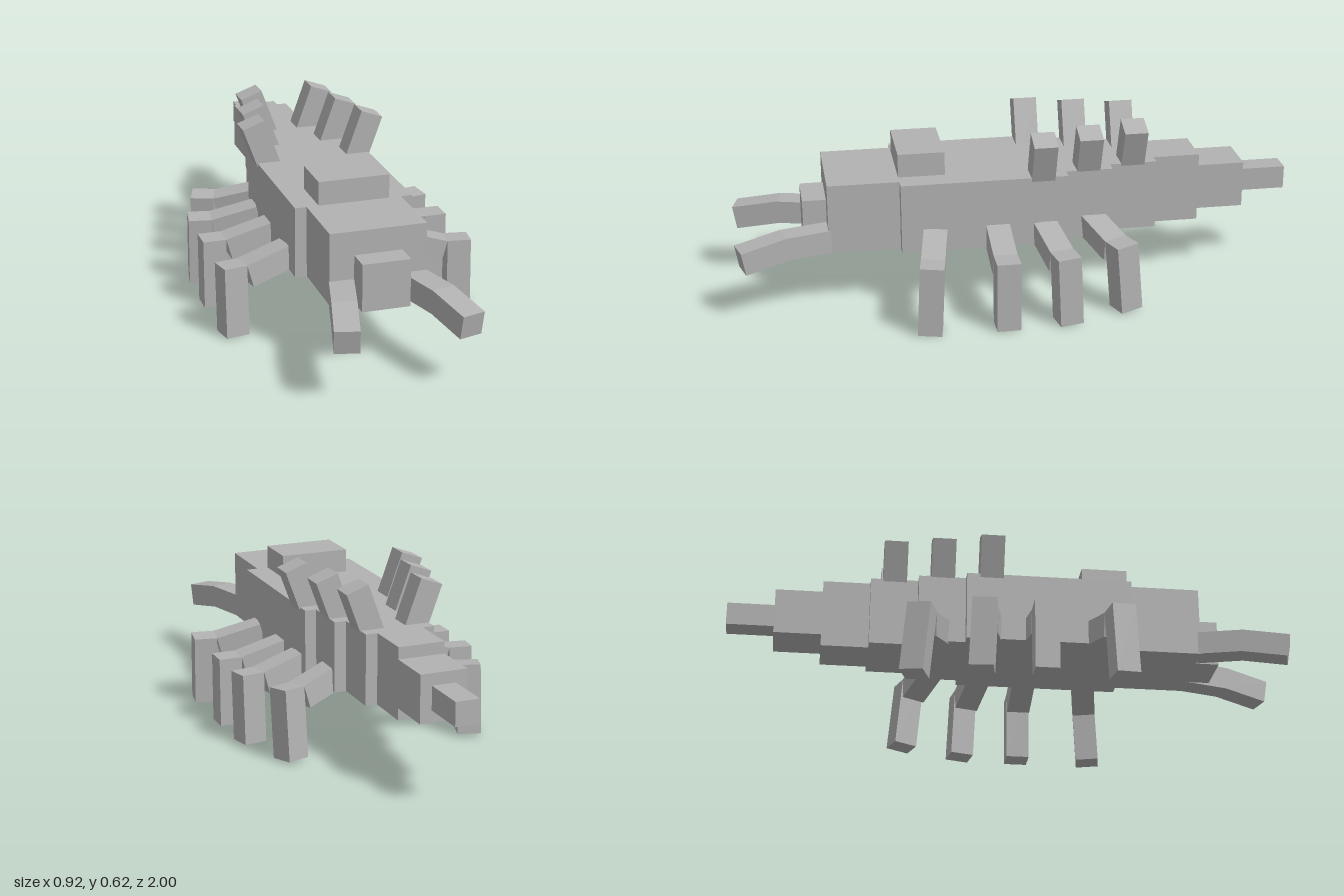
import * as THREE from 'three';

const rad = THREE.MathUtils.degToRad;
const T = 0.0833; // common limb thickness

export function createModel() {
  const model = new THREE.Group();
  const shell = new THREE.MeshStandardMaterial({ color: 0xb2b2b2 });
  shell.name = 'shellGrey';

  // Box given by its size and centre
  function box(parent, name, w, h, d, x, y, z) {
    const mesh = new THREE.Mesh(new THREE.BoxGeometry(w, h, d), shell);
    mesh.name = name;
    mesh.position.set(x, y, z);
    parent.add(mesh);
    return mesh;
  }

  // Joint: a named group at a pivot, angles in degrees
  function joint(parent, name, x, y, z, rx, ry, rz) {
    const g = new THREE.Group();
    g.name = name;
    g.position.set(x, y, z);
    g.rotation.set(rad(rx), rad(ry), rad(rz), 'ZYX');
    parent.add(g);
    return g;
  }

  // Body blocks from nose to tail: name, half width, y range, z range
  const blocks = [
    ['head', 0.083, 0.215, 0.382, 0.675, 0.758],
    ['frontBody', 0.167, 0.215, 0.466, 0.424, 0.675],
    ['mainBody', 0.208, 0.215, 0.466, -0.163, 0.424],
    ['rearBody', 0.167, 0.215, 0.466, -0.33, -0.163],
    ['narrowRearBody', 0.125, 0.215, 0.466, -0.498, -0.33],
    ['tailBase', 0.083, 0.215, 0.466, -0.665, -0.498],
    ['tailMiddle', 0.083, 0.257, 0.424, -0.832, -0.665],
    ['tailTip', 0.042, 0.299, 0.382, -1, -0.832],
    ['backHump', 0.125, 0.466, 0.55, 0.26, 0.424],
  ];
  for (const [name, hw, y0, y1, z0, z1] of blocks) {
    box(model, name, hw * 2, y1 - y0, z1 - z0, 0, (y0 + y1) / 2, (z0 + z1) / 2);
  }

  // Legs: pivot x, pivot z, forward swing in degrees
  const legs = [
    [0.21, 0.306, 10],
    [0.208, 0.086, 0],
    [0.206, -0.082, -10],
    [0.15, -0.257, -20],
  ];
  // Back spikes: outer top corner x, centre z
  const spikes = [
    [0.26, -0.075],
    [0.215, -0.244],
    [0.175, -0.412],
  ];

  for (const s of [1, -1]) {
    const side = s > 0 ? 'left' : 'right';

    legs.forEach(([x, z, swing], i) => {
      const leg = joint(model, `${side}Leg${i + 1}`, s * x, 0.299, z, 0, -s * swing, -s * 15);
      box(leg, 'upperLeg', 0.167, T, T, s * 0.0835, -T / 2, 0);
      const knee = joint(leg, 'knee', s * 0.167, 0, 0, 0, 0, s * 15);
      box(knee, 'lowerLeg', T, 0.25, T, s * T / 2, -0.125, 0);
    });

    // Spikes lean outward and sink into the back
    spikes.forEach(([x, z], i) => {
      const spike = joint(model, `${side}Spike${i + 1}`, s * x, 0.595, z, 0, 0, -s * 20);
      box(spike, 'spike', T, 0.25, T, -s * T / 2, -0.125, 0);
    });

    // Jaws spread outward, with a drooping tip
    const jaw = joint(model, `${side}Jaw`, s * 0.125, 0.299, 0.67, 0, s * 15, 0);
    box(jaw, 'jawBase', T, T, 0.167, 0, -T / 2, 0.0835);
    const tip = joint(jaw, 'jawJoint', 0, 0, 0.167, 10, 0, 0);
    box(tip, 'jawTip', T, T, 0.167, 0, -T / 2, 0.0835);
  }

  // Rest the feet on the ground
  model.updateMatrixWorld(true);
  const bounds = new THREE.Box3().setFromObject(model, true);
  model.position.y = -bounds.min.y;
  return model;
}
